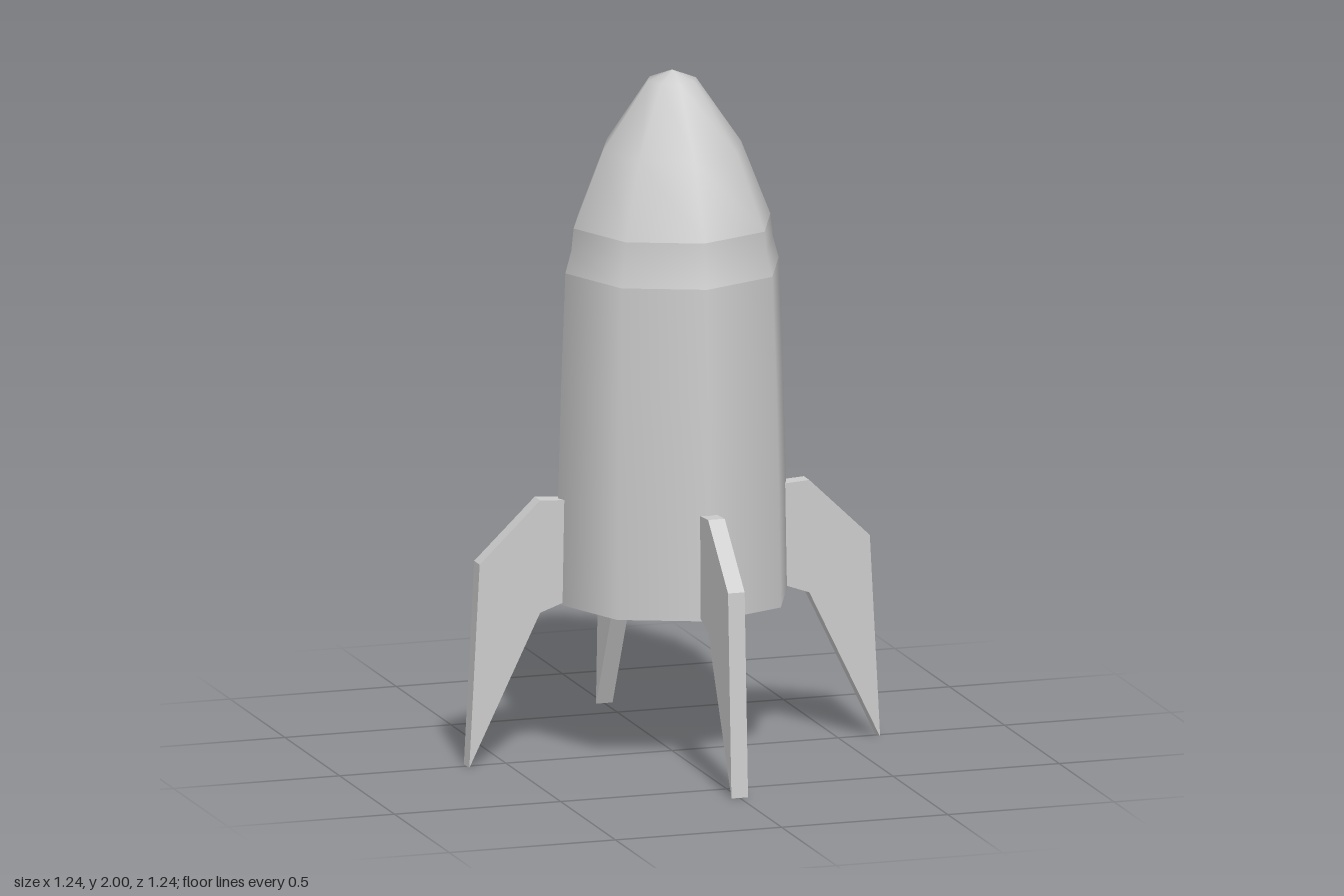
import * as THREE from 'three';

const SIDES = 8;
const material = new THREE.MeshStandardMaterial({ color: 0xcccccc });

// Eight-sided ring section, smooth within itself and creased against its neighbours
function section(name, profile) {
  const points = profile.map(([r, y]) => new THREE.Vector2(r, y));
  const mesh = new THREE.Mesh(new THREE.LatheGeometry(points, SIDES), material);
  mesh.name = name;
  return mesh;
}

// Swept fin: flat plate extruded from its side outline
function finGeometry() {
  const thickness = 0.05;
  const outline = [
    [0.325, 0.765], [0.335, 0.465], [0.405, 0.44], [0.618, 0],
    [0.587, 0.595], [0.405, 0.77],
  ].map(([x, y]) => new THREE.Vector2(x, y));
  const geometry = new THREE.ExtrudeGeometry(new THREE.Shape(outline), {
    depth: thickness, bevelEnabled: false,
  });
  return geometry.translate(0, 0, -thickness / 2);
}

export function createModel() {
  const rocket = new THREE.Group();
  rocket.name = 'rocket';

  // Outer shell, bottom to top
  rocket.add(
    section('hull', [[0.348, 0.457], [0.342, 0.8], [0.333, 1.12], [0.321, 1.425]]),
    section('collar', [[0.321, 1.425], [0.303, 1.49], [0.296, 1.555]]),
    section('noseCone', [[0.296, 1.555], [0.208, 1.775], [0.072, 1.972], [0, 2]]),
  );

  // Open tail: flat rim and hollow inside, wound to face inward
  rocket.add(
    section('tailRim', [[0.298, 0.457], [0.348, 0.457]]),
    section('innerWall', [[0, 1.5], [0.15, 1.46], [0.27, 1.3], [0.298, 0.457]]),
  );

  // Four fins, one on each hull corner along the axes
  const fin = finGeometry();
  for (let i = 0; i < 4; i++) {
    const mesh = new THREE.Mesh(fin, material);
    mesh.name = `fin${i + 1}`;
    mesh.rotation.y = (i * Math.PI) / 2;
    rocket.add(mesh);
  }
  return rocket;
}
